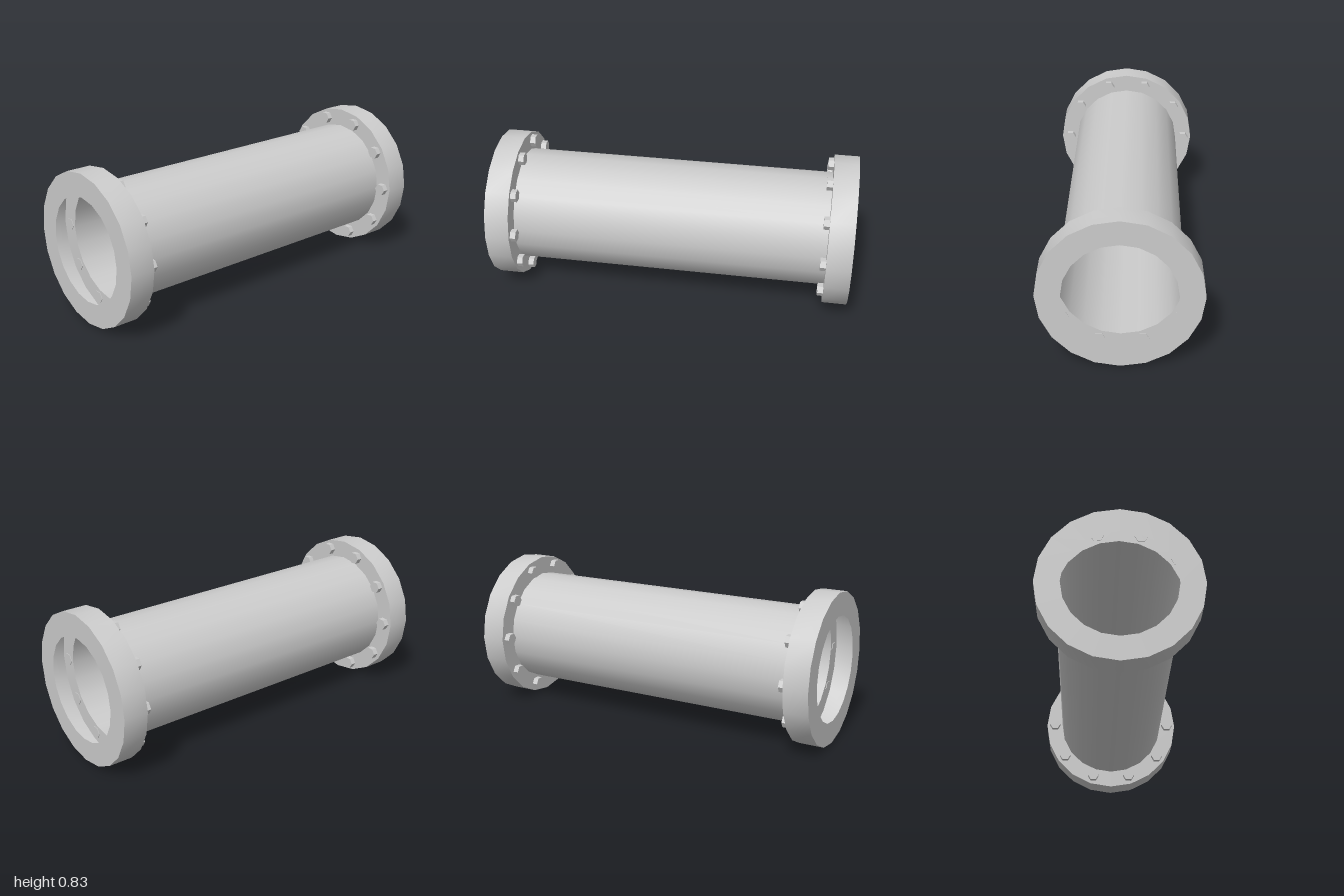
import * as THREE from 'three';
import { toCreasedNormals } from 'three/addons/utils/BufferGeometryUtils.js';

const CENTER_Y = 0.417;
const SIDES = 20;
const PIPE_R = 0.317;
const FLANGE_Z = 0.865; // plane of the bolted flange face

export function createModel() {
  const model = new THREE.Group();
  model.name = 'flangedPipe';
  const shell = new THREE.MeshStandardMaterial({ color: 0xcccccc, side: THREE.DoubleSide });
  const boltMaterial = new THREE.MeshStandardMaterial({ color: 0xcccccc, flatShading: true });

  // Thin open tube between the flanges
  const pipeGeometry = new THREE.CylinderGeometry(PIPE_R, PIPE_R, 2 * FLANGE_Z, SIDES, 1, true);
  pipeGeometry.rotateX(Math.PI / 2);
  const pipe = new THREE.Mesh(pipeGeometry, shell);
  pipe.name = 'pipe';
  pipe.position.y = CENTER_Y;
  model.add(pipe);

  // Hollow flange: bolted face, outer wall, end face with a narrower hole
  const profile = [[PIPE_R, FLANGE_Z], [0.417, FLANGE_Z], [0.417, 1], [0.289, 1]]
    .map(([r, h]) => new THREE.Vector2(r, h));
  const flangeGeometry = toCreasedNormals(
    new THREE.LatheGeometry(profile, SIDES).rotateX(Math.PI / 2), 0.6);

  // Hexagonal bolt with a corner pointing along x
  const boltGeometry = new THREE.CylinderGeometry(0.035, 0.035, 0.034, 6);
  boltGeometry.rotateY(Math.PI / 2).rotateX(Math.PI / 2);

  for (const end of ['front', 'back']) {
    const group = new THREE.Group();
    group.name = end + 'Flange';
    group.position.y = CENTER_Y;
    if (end === 'back') group.rotation.y = Math.PI;

    const flange = new THREE.Mesh(flangeGeometry, shell);
    flange.name = 'flangeRing';
    group.add(flange);

    // Ring of ten bolts
    for (let i = 0; i < 10; i++) {
      const a = (i / 10) * Math.PI * 2;
      const bolt = new THREE.Mesh(boltGeometry, boltMaterial);
      bolt.name = 'bolt';
      bolt.position.set(0.365 * Math.cos(a), 0.365 * Math.sin(a), FLANGE_Z - 0.014);
      group.add(bolt);
    }
    model.add(group);
  }
  return model;
}
